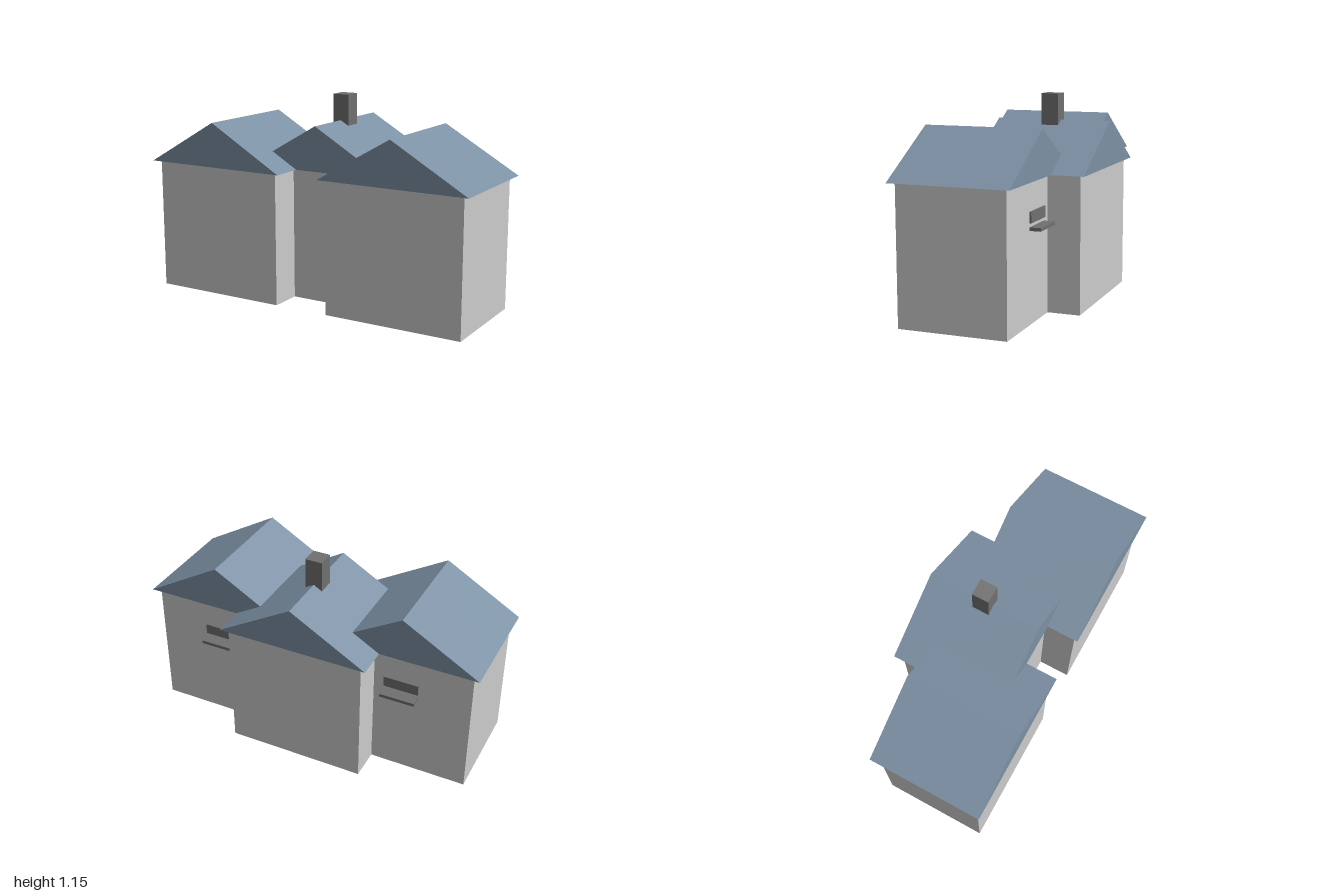
import * as THREE from 'three';

const wallMat = new THREE.MeshStandardMaterial({ color: 0xcccccc, flatShading: true });
const roofMat = new THREE.MeshStandardMaterial({ color: 0x7c90a4, flatShading: true });
const trimMat = new THREE.MeshStandardMaterial({ color: 0x707070, flatShading: true });

// Box given by its extents on each axis
function box(name, material, [x0, x1], [y0, y1], [z0, z1]) {
  const mesh = new THREE.Mesh(new THREE.BoxGeometry(x1 - x0, y1 - y0, z1 - z0), material);
  mesh.position.set((x0 + x1) / 2, (y0 + y1) / 2, (z0 + z1) / 2);
  mesh.name = name;
  return mesh;
}

// Closed gable roof with its ridge along z
function gableRoof(name, x, [z0, z1]) {
  const half = 0.435, eave = 0.748, ridge = 1;
  const shape = new THREE.Shape();
  shape.moveTo(-half, eave);
  shape.lineTo(half, eave);
  shape.lineTo(0, ridge);
  shape.closePath();
  const geometry = new THREE.ExtrudeGeometry(shape, { depth: z1 - z0, bevelEnabled: false });
  const mesh = new THREE.Mesh(geometry, roofMat);
  mesh.position.set(x, 0, z0);
  mesh.name = name;
  return mesh;
}

// One gabled block: walls with an overhanging roof
function block(name, x, [z0, z1]) {
  const group = new THREE.Group();
  group.name = name;
  const overhang = 0.031;
  group.add(
    box('walls', wallMat, [x - 0.398, x + 0.398], [0, 0.75], [z0, z1]),
    gableRoof('roof', x, [z0 - overhang, z1 + overhang])
  );
  return group;
}

export function createModel() {
  const model = new THREE.Group();
  model.name = 'house';

  // Central block, set back between the two wings
  model.add(block('centralBlock', 0, [-0.39, 0.205]));

  // Wings with a window panel and sill on the back wall
  for (const [side, s] of [['left', 1], ['right', -1]]) {
    const x = s * 0.558;
    const span = [x - 0.1, x + 0.1];
    const wing = block(side + 'Wing', x, [-0.208, 0.39]);
    wing.add(
      box('windowPanel', trimMat, span, [0.53, 0.59], [-0.217, -0.2]),
      box('windowSill', trimMat, span, [0.492, 0.51], [-0.27, -0.2])
    );
    model.add(wing);
  }

  // Chimney on the central ridge
  model.add(box('chimney', trimMat, [-0.049, 0.049], [0.9, 1.147], [-0.138, -0.04]));
  return model;
}
